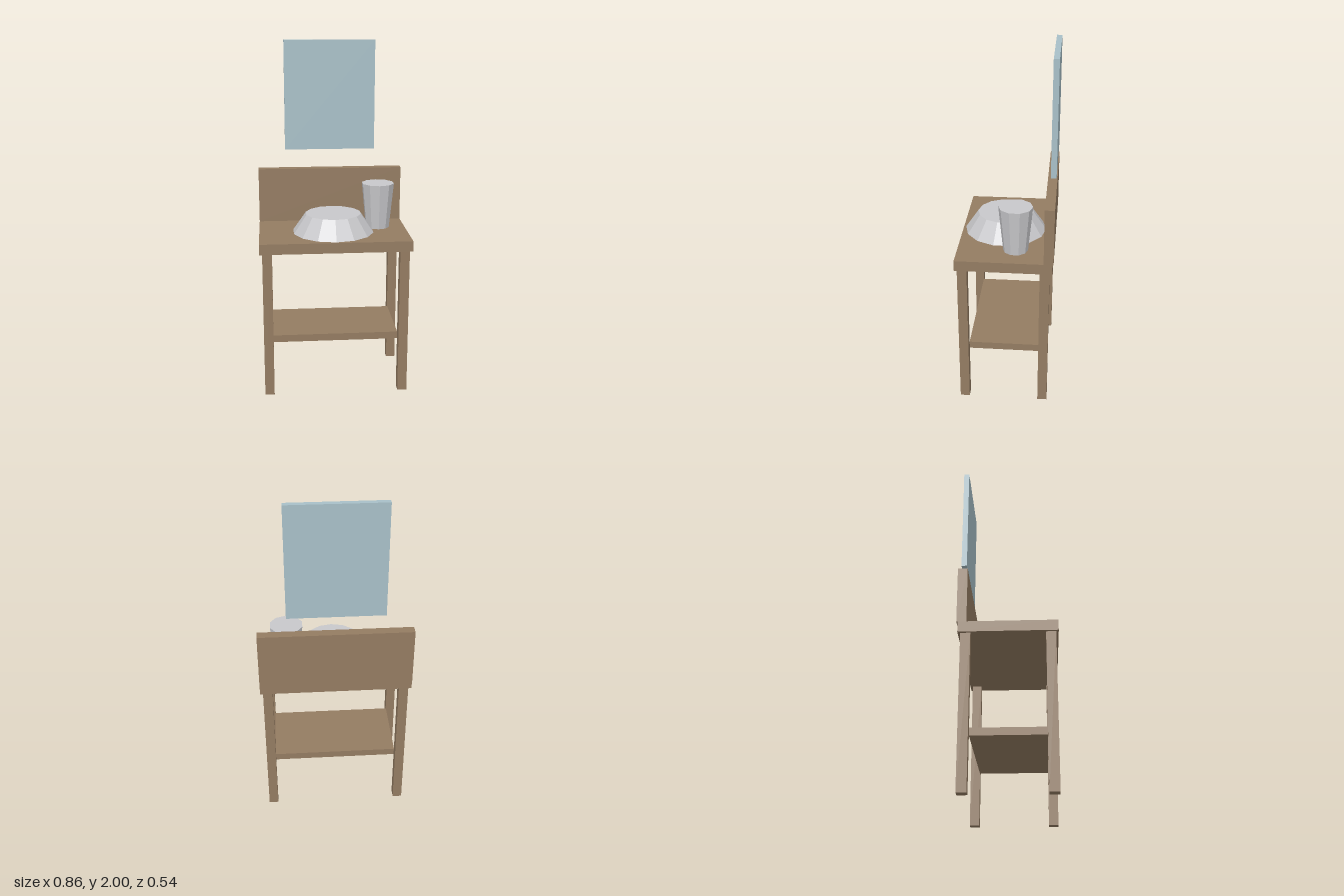
import * as THREE from 'three';

export function createModel() {
  const group = new THREE.Group();
  const material = (name, color) => {
    const m = new THREE.MeshStandardMaterial({ color });
    m.name = name;
    m.flatShading = true;
    return m;
  };
  const wood = material('wood', 0x947c62);
  const ceramic = material('ceramic', 0xc8c8cb);
  const glass = material('mirror glass', 0xa8c0c8);

  const add = (name, geometry, mat, x, y, z) => {
    const mesh = new THREE.Mesh(geometry, mat);
    mesh.name = name;
    mesh.position.set(x, y, z);
    group.add(mesh);
  };
  // Box given by its width, centre x and its y and z ranges
  const box = (name, mat, w, x, y0, y1, z0, z1) =>
    add(name, new THREE.BoxGeometry(w, y1 - y0, z1 - z0), mat, x, (y0 + y1) / 2, (z0 + z1) / 2);
  // Faceted round vessel standing on the table top
  const vessel = (name, rTop, rBottom, height, sides, x, z) =>
    add(name, new THREE.CylinderGeometry(rTop, rBottom, height, sides), ceramic, x, tableY + height / 2, z);

  const tableY = 0.918;
  const midZ = 0.004; // centre of the table depth

  // Table top, splashback and lower shelf
  box('tableTop', wood, 0.862, 0, 0.858, tableY, -0.265, 0.272);
  box('backPanel', wood, 0.862, 0, tableY, 1.242, -0.272, -0.218);
  box('shelf', wood, 0.724, 0, 0.305, 0.347, -0.197, 0.205);

  // Four square legs
  for (const sx of [-1, 1]) {
    for (const sz of [-1, 1]) {
      const z = midZ + sz * 0.228;
      box(sz > 0 ? 'frontLeg' : 'backLeg', wood, 0.054, sx * 0.388, 0, 0.858, z - 0.027, z + 0.027);
    }
  }

  // Wash basin and cup
  vessel('basin', 0.162, 0.237, 0.109, 14, 0, 0.023);
  vessel('cup', 0.096, 0.07, 0.266, 10, 0.27, -0.054);

  // Mirror above the splashback
  box('mirror', glass, 0.538, 0, 1.356, 2, -0.272, -0.241);

  return group;
}
